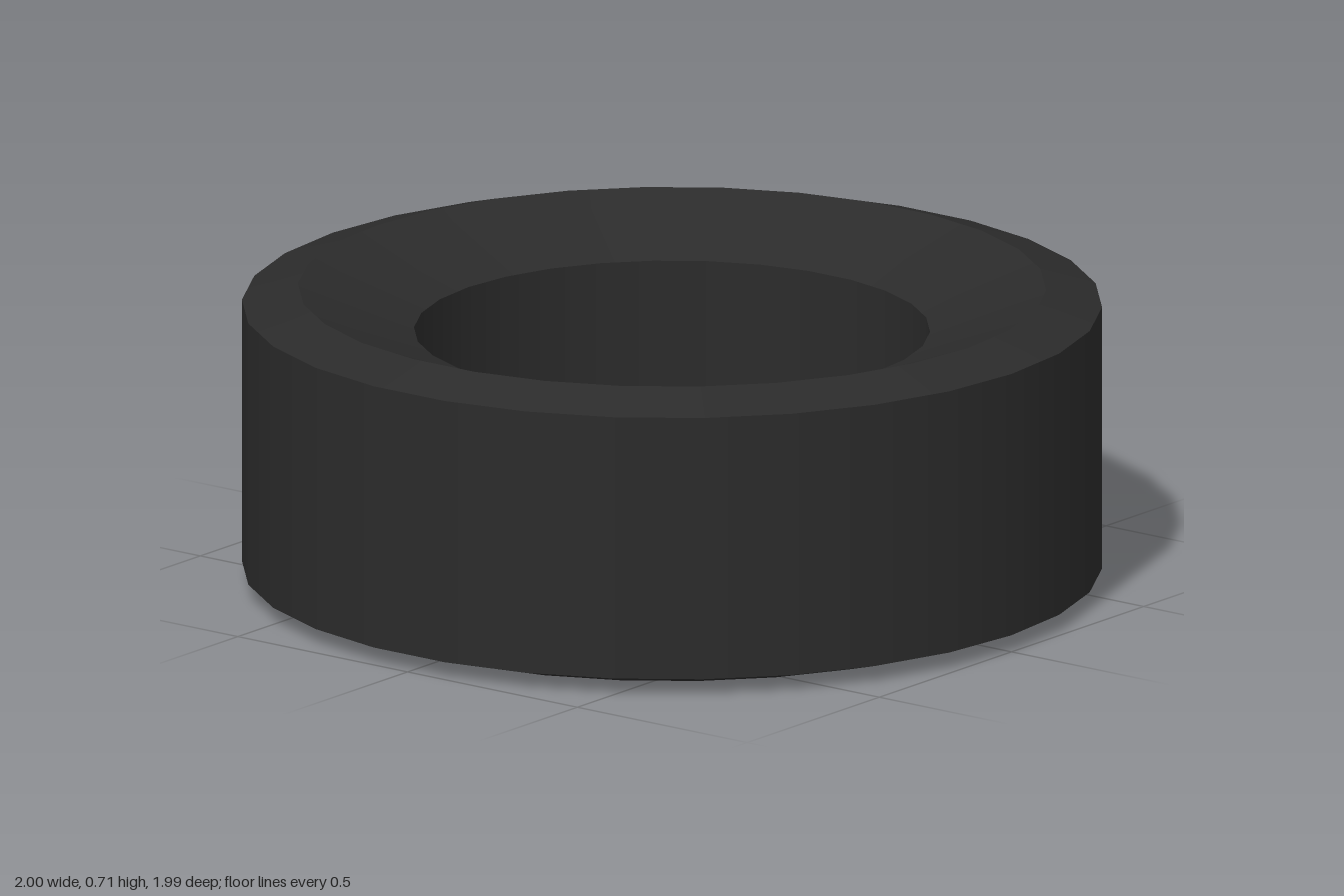
import * as THREE from 'three';

const SIDES = 30;

// Tyre cross-section as [radius, height], counter-clockwise from the lower tread edge
const PROFILE = [
  [1, 0.04], [1, 0.67],         // tread
  [0.87, 0.71], [0.6, 0.607],   // upper shoulder, dished upper sidewall
  [0.6, 0.103], [0.87, 0],      // bore, dished lower sidewall
];
const BANDS = ['tread', 'upperShoulder', 'upperSidewall', 'bore', 'lowerSidewall', 'lowerShoulder'];

export function createModel() {
  const tyre = new THREE.Group();
  tyre.name = 'tyre';
  const rubber = new THREE.MeshStandardMaterial({ color: 0x2b2b2b });

  // One lathed band per profile edge: smooth around the ring, sharp between bands
  BANDS.forEach((name, i) => {
    const ends = [PROFILE[i], PROFILE[(i + 1) % PROFILE.length]];
    const points = ends.map(([r, y]) => new THREE.Vector2(r, y));
    const band = new THREE.Mesh(new THREE.LatheGeometry(points, SIDES, Math.PI / 2), rubber);
    band.name = name;
    tyre.add(band);
  });

  return tyre;
}
